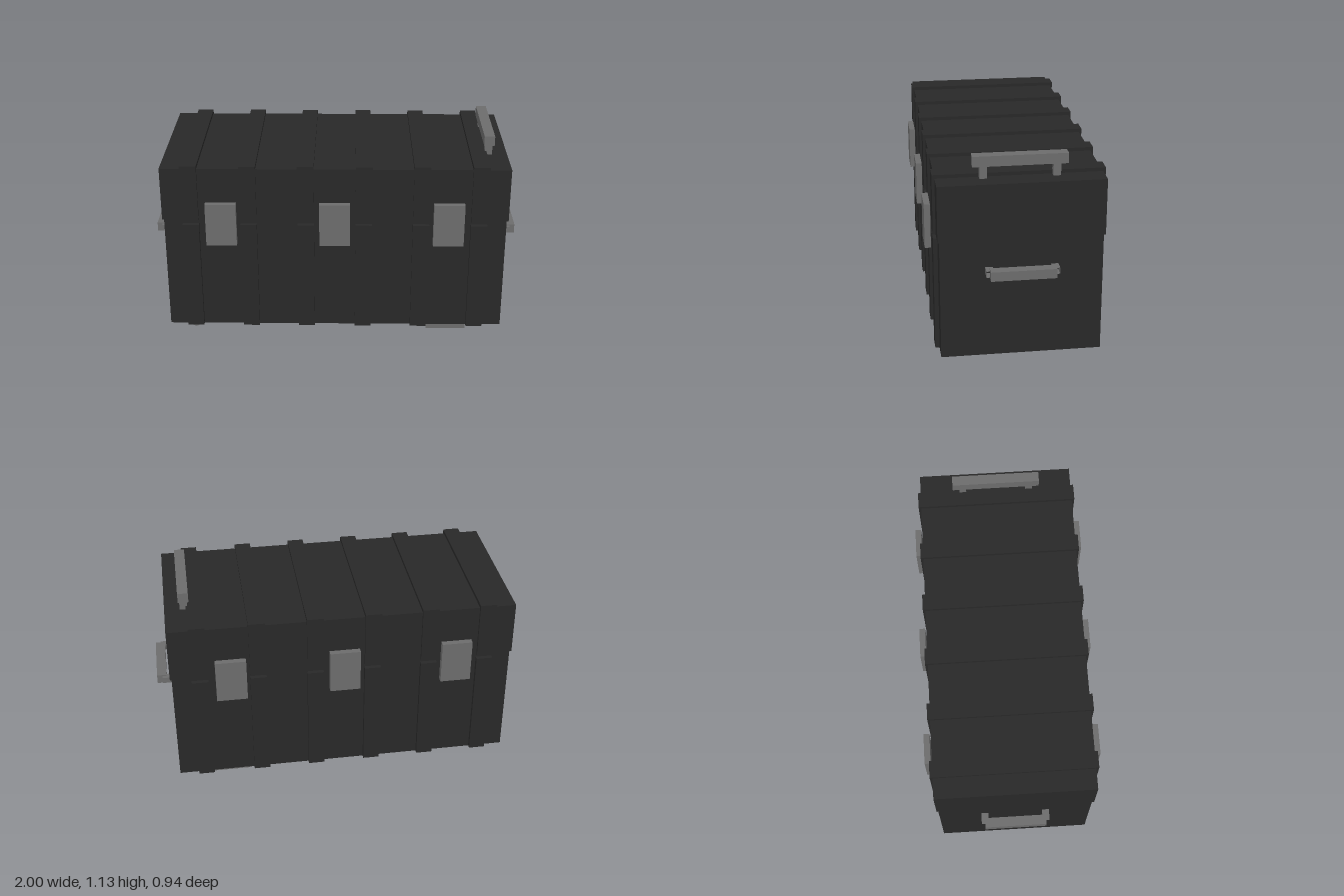
import * as THREE from 'three';

const dark = new THREE.MeshStandardMaterial({ color: 0x282828, flatShading: true, side: THREE.DoubleSide });
const trim = new THREE.MeshStandardMaterial({ color: 0x6c6c6c, flatShading: true, side: THREE.DoubleSide });

// Face numbers of a box, for leaving sides open
const RIGHT = 0, LEFT = 1, BOTTOM = 3;

// Box given by its min and max on each axis; faces listed in open are left out
function box(parent, name, material, [x0, x1], [y0, y1], [z0, z1], open = []) {
  const geometry = new THREE.BoxGeometry(x1 - x0, y1 - y0, z1 - z0);
  const kept = Array.from(geometry.index.array).filter((_, i) => !open.includes(Math.floor(i / 6)));
  geometry.setIndex(kept);
  geometry.clearGroups();
  const mesh = new THREE.Mesh(geometry, material);
  mesh.position.set((x0 + x1) / 2, (y0 + y1) / 2, (z0 + z1) / 2);
  mesh.name = name;
  parent.add(mesh);
}

// Range of a given width around a centre
const around = (c, w) => [c - w / 2, c + w / 2];

export function createModel() {
  const model = new THREE.Group();
  model.name = 'storageCase';

  // Lower body, open underneath, and slightly larger lid
  box(model, 'body', dark, around(0, 1.836), [0.077, 0.72], around(0, 0.826), [BOTTOM]);
  box(model, 'lid', dark, around(0, 1.854), [0.718, 1.014], around(0, 0.842));

  // Ribs running through body and lid, with a gap at the seam
  for (const x of [-0.774, -0.464, -0.157, 0.153, 0.46, 0.77]) {
    box(model, 'bodyRib', dark, around(x, 0.088), [0.077, 0.695], around(0, 0.87), [BOTTOM]);
    box(model, 'lidRib', dark, around(x, 0.088), [0.718, 1.033], around(0, 0.87));
  }

  // Latches on the front and back
  for (const x of [-0.608, -0.002, 0.606])
    for (const side of [1, -1])
      box(model, 'latch', trim, around(x, 0.164), [0.59, 0.829], around(side * 0.453, 0.032));

  // Carrying handles on both ends
  for (const side of [1, -1]) {
    const handle = new THREE.Group();
    handle.name = 'endHandle';
    box(handle, 'grip', trim, around(side * 0.974, 0.052), [0.528, 0.578], around(0, 0.332));
    for (const z of [-0.166, 0.166])
      box(handle, 'post', trim, around(side * 0.942, 0.06), [0.538, 0.571], around(z, 0.038), [RIGHT, LEFT]);
    model.add(handle);
  }

  // Pull handle on top of the lid
  const pull = new THREE.Group();
  pull.name = 'topHandle';
  box(pull, 'grip', trim, around(0.824, 0.056), [1.078, 1.132], around(0, 0.478));
  for (const z of [-0.184, 0.184])
    box(pull, 'post', trim, around(0.825, 0.04), [1.01, 1.08], around(z, 0.038));
  model.add(pull);

  // Rectangular foot, hollow from below
  box(model, 'foot', trim, around(0.623, 0.22), [0, 0.08], around(0, 0.656), [BOTTOM]);

  // Eight-sided wheels, partly sunk into the body
  for (const s of [1, -1]) {
    const wheel = new THREE.Mesh(new THREE.CylinderGeometry(0.113, 0.113, 0.08, 8).rotateX(Math.PI / 2), trim);
    wheel.position.set(-0.79, 0.118, s * 0.29);
    wheel.name = 'wheel';
    model.add(wheel);
  }
  return model;
}
